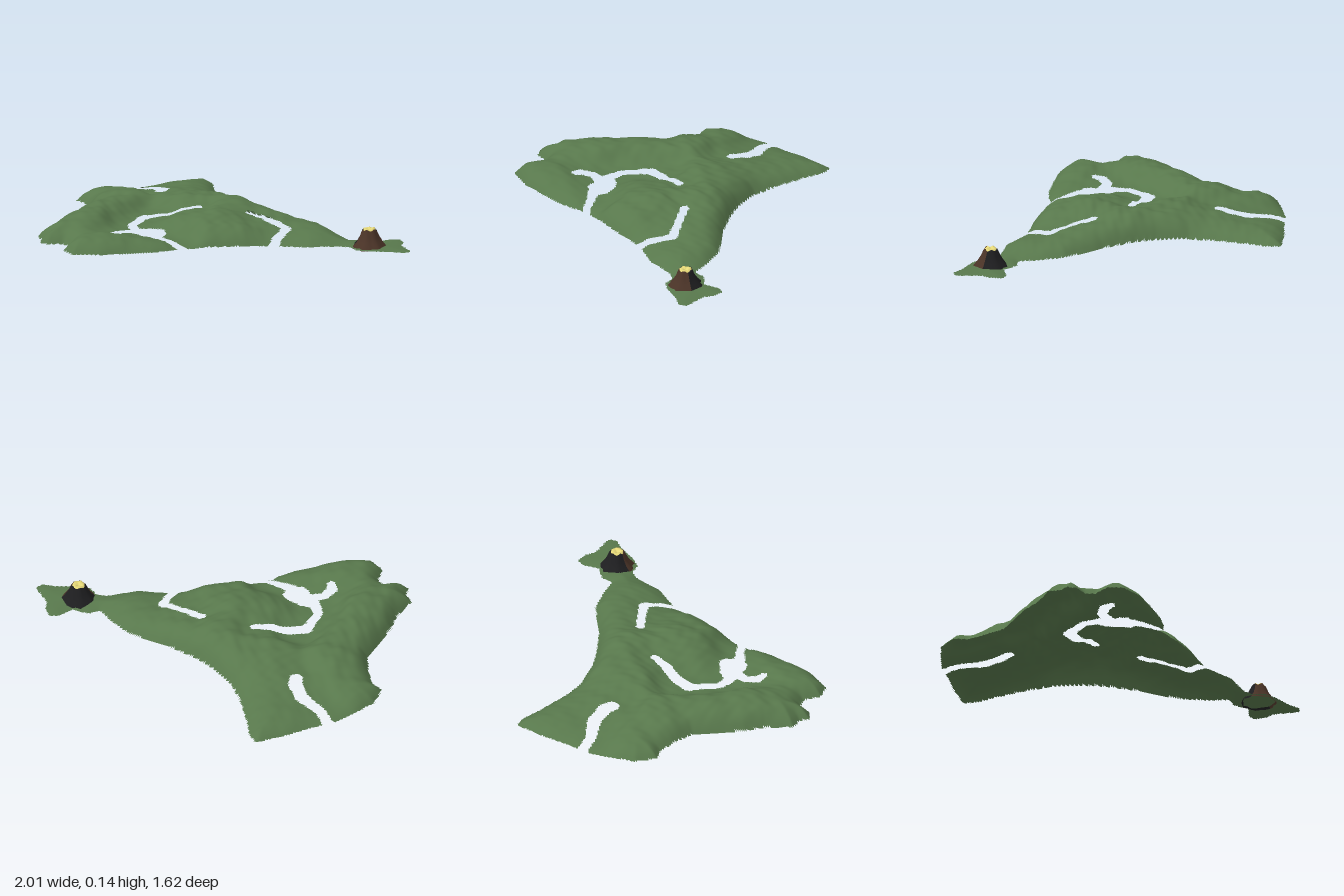
import * as THREE from 'three';

// Coastline as x, z pairs
const COAST = [
  -.62,-.815, -.56,-.78, -.5,-.69, -.39,-.55, -.29,-.45, -.14,-.375, -.02,-.34, .16,-.31, .39,-.305,
  .52,-.25, .62,-.195, .66,-.245, .75,-.25, .79,-.33, .83,-.355, .87,-.32, .9,-.25, .965,-.205,
  1.005,-.17, .985,-.135, .9,-.11, .83,-.07, .75,-.05, .7,-.08, .645,-.07, .59,-.025, .52,.04,
  .39,.09, .34,.11, .295,.15, .19,.245, .08,.325, 0,.385, -.06,.45, -.065,.475, -.12,.555,
  -.21,.645, -.32,.75, -.45,.81, -.525,.775, -.55,.68, -.6,.66, -.665,.705, -.72,.695, -.73,.645,
  -.785,.605, -.775,.46, -.795,.35, -.8,.2, -.8,.08, -.855,-.015, -.92,-.1, -.99,-.125,
  -1.005,-.24, -.96,-.345, -.895,-.47, -.85,-.525, -.8,-.585, -.735,-.68, -.655,-.77];

// Rivers as centre lines: [x, z, half width]
const RIVERS = [
  [[.02,.41,.022], [-.05,.41,.022], [-.13,.392,.022], [-.2,.385,.03], [-.215,.33,.035], [-.25,.345,.072],
    [-.3,.33,.058], [-.375,.315,.028], [-.42,.26,.024], [-.43,.15,.026], [-.43,.1,.034], [-.36,.04,.031],
    [-.29,0,.027], [-.21,-.06,.02]],
  [[-.3,.34,.04], [-.385,.4,.025], [-.395,.46,.03], [-.375,.49,.022]],
  [[.35,.13,.025], [.335,.06,.026], [.33,-.01,.022], [.32,-.06,.026], [.19,-.085,.022], [.07,-.105,.022]],
  [[-.9,-.52,.03], [-.8,-.45,.028], [-.68,-.42,.036], [-.61,-.36,.038], [-.59,-.315,.034]]];

// Land heights: [x, z, height], hills first and then the river valleys
const HILLS = [
  [-.88,-.2,.085], [-.7,-.05,.125], [-.62,.18,.13], [-.65,.4,.13], [-.6,.58,.1], [-.35,.6,.095],
  [-.2,.52,.065], [-.65,-.62,.058], [-.5,-.5,.07], [-.48,-.35,.1], [-.35,-.2,.125], [-.05,-.2,.155], [-.2,-.22,.135],
  [-.04,.05,.14], [.13,.15,.11], [-.18,.17,.105], [.14,-.2,.125], [.28,-.2,.09], [.22,.02,.09],
  [.45,-.12,.07], [.58,-.13,.045], [.68,-.15,.012], [.8,-.15,.012], [.95,-.15,.008],
  [-.21,-.06,.095], [-.38,.05,.06], [-.44,.15,.045], [-.42,.25,.045], [-.3,.32,.04], [-.17,.36,.035],
  [-.39,.46,.05], [.08,-.1,.095], [.2,-.085,.075], [.32,-.05,.05], [.34,.05,.035],
  [-.59,-.315,.07], [-.68,-.42,.05], [-.82,-.46,.03]];

// Distance to a segment and the position along it
function toSegment(x, z, ax, az, bx, bz) {
  const dx = bx - ax, dz = bz - az;
  const t = Math.min(1, Math.max(0, ((x - ax) * dx + (z - az) * dz) / (dx * dx + dz * dz)));
  return [Math.hypot(x - ax - t * dx, z - az - t * dz), t];
}

// Distance inland from the sea, negative outside the coast
function fromSea(x, z) {
  let d = Infinity, inside = false;
  const n = COAST.length;
  for (let i = 0; i < n; i += 2) {
    const ax = COAST[i], az = COAST[i + 1], bx = COAST[(i + 2) % n], bz = COAST[(i + 3) % n];
    d = Math.min(d, toSegment(x, z, ax, az, bx, bz)[0]);
    if ((az > z) !== (bz > z) && x < ax + (z - az) / (bz - az) * (bx - ax)) inside = !inside;
  }
  return inside ? d : -d;
}

// Whether a point lies in a river channel
function inRiver(x, z) {
  return RIVERS.some(r => r.slice(1).some((b, i) => {
    const a = r[i];
    const [dist, t] = toSegment(x, z, a[0], a[1], b[0], b[1]);
    return dist < a[2] + t * (b[2] - a[2]);
  }));
}

// Blended hills and valleys, worn by soft lumps and sloping down to a low shore
function landHeight(x, z) {
  let sum = 0, weight = 1e-9;
  for (const [hx, hz, h] of HILLS) {
    const w = Math.exp(-((x - hx) ** 2 + (z - hz) ** 2) / .011);
    sum += w * h;
    weight += w;
  }
  const h = sum / weight;
  const u = x + .03 * Math.sin(11 * z + 1), v = z + .03 * Math.sin(13 * x);
  const lumps = .04 * Math.sin(21 * u + 4 * v) * Math.sin(23 * v + 1)
    + .035 * Math.sin(41 * u + 9 * v + 2) * Math.sin(43 * v - 10 * u)
    + .015 * Math.sin(77 * u - 20 * v) * Math.sin(71 * v + 25 * u);
  const rise = .1 + .9 * (1 - Math.exp(-Math.max(0, fromSea(x, z)) / .055));
  return .003 + h * (1 + lumps) * rise;
}

// Fine grid keeping only the triangles that lie on land
function terrainGeometry() {
  const step = .01, nx = 202, nz = 166, x0 = -1.01, z0 = -.83;
  const positions = [], index = [];
  for (let j = 0; j <= nz; j++) {
    for (let i = 0; i <= nx; i++) {
      const x = x0 + i * step, z = z0 + j * step;
      positions.push(x, landHeight(x, z), z);
    }
  }
  const addFace = (...f) => {
    const x = f.reduce((s, k) => s + positions[3 * k], 0) / 3;
    const z = f.reduce((s, k) => s + positions[3 * k + 2], 0) / 3;
    if (fromSea(x, z) > 0 && !inRiver(x, z)) index.push(...f);
  };
  for (let j = 0; j < nz; j++) {
    for (let i = 0; i < nx; i++) {
      const a = j * (nx + 1) + i, b = a + 1, c = a + nx + 1, e = c + 1;
      addFace(a, c, b);
      addFace(b, c, e);
    }
  }
  const g = new THREE.BufferGeometry();
  g.setAttribute('position', new THREE.Float32BufferAttribute(positions, 3));
  g.setIndex(index);
  g.computeVertexNormals();
  return g;
}

// Sector of a turned profile with a rough flank and notched rim
function roughLathe(points, from, to, rimHeight) {
  const profile = points.map(([r, y]) => new THREE.Vector2(r, y));
  const g = new THREE.LatheGeometry(profile, 12, from, to - from);
  const p = g.attributes.position;
  for (let i = 0; i < p.count; i++) {
    const x = p.getX(i), y = p.getY(i), z = p.getZ(i), a = Math.atan2(x, z);
    const k = 1 + .05 * Math.sin(7 * a) + .03 * Math.sin(12 * a + 60 * y);
    p.setXYZ(i, x * k, y + (y > rimHeight ? .005 * Math.sin(5 * a + 1) : 0), z * k);
  }
  g.computeVertexNormals();
  return g;
}

export function createModel() {
  const paint = (name, color) => {
    const m = new THREE.MeshStandardMaterial({ color, side: THREE.DoubleSide });
    m.name = name;
    return m;
  };
  const grass = paint('grass green', 0x58784c);
  const rock = paint('brown rock', 0x4a3327);
  const ash = paint('black ash', 0x1e1e20);
  const lava = paint('yellow lava', 0xeee07c);

  const model = new THREE.Group();
  model.name = 'island';
  const add = (parent, name, geometry, material) => {
    const mesh = new THREE.Mesh(geometry, material);
    mesh.name = name;
    parent.add(mesh);
  };
  add(model, 'terrain', terrainGeometry(), grass);

  // Volcano with a brown front flank and a black rear flank
  const volcano = new THREE.Group();
  volcano.name = 'volcano';
  volcano.position.set(.763, 0, -.156);
  model.add(volcano);
  const west = -.27 * Math.PI, east = .64 * Math.PI;
  const flank = [[.09, 0], [.084, .012], [.066, .032], [.05, .06], [.038, .09], [.033, .096], [.028, .088]];
  add(volcano, 'brownFlank', roughLathe(flank, west, east, .092), rock);
  add(volcano, 'blackFlank', roughLathe(flank, east, west + 2 * Math.PI, .092), ash);

  // Lava heaped in the crater and lapping the rim
  const heap = [[.034, .09], [.031, .099], [.02, .1], [.01, .094], [0, .091]];
  add(volcano, 'lava', roughLathe(heap, 0, 2 * Math.PI, .095), lava);
  return model;
}
